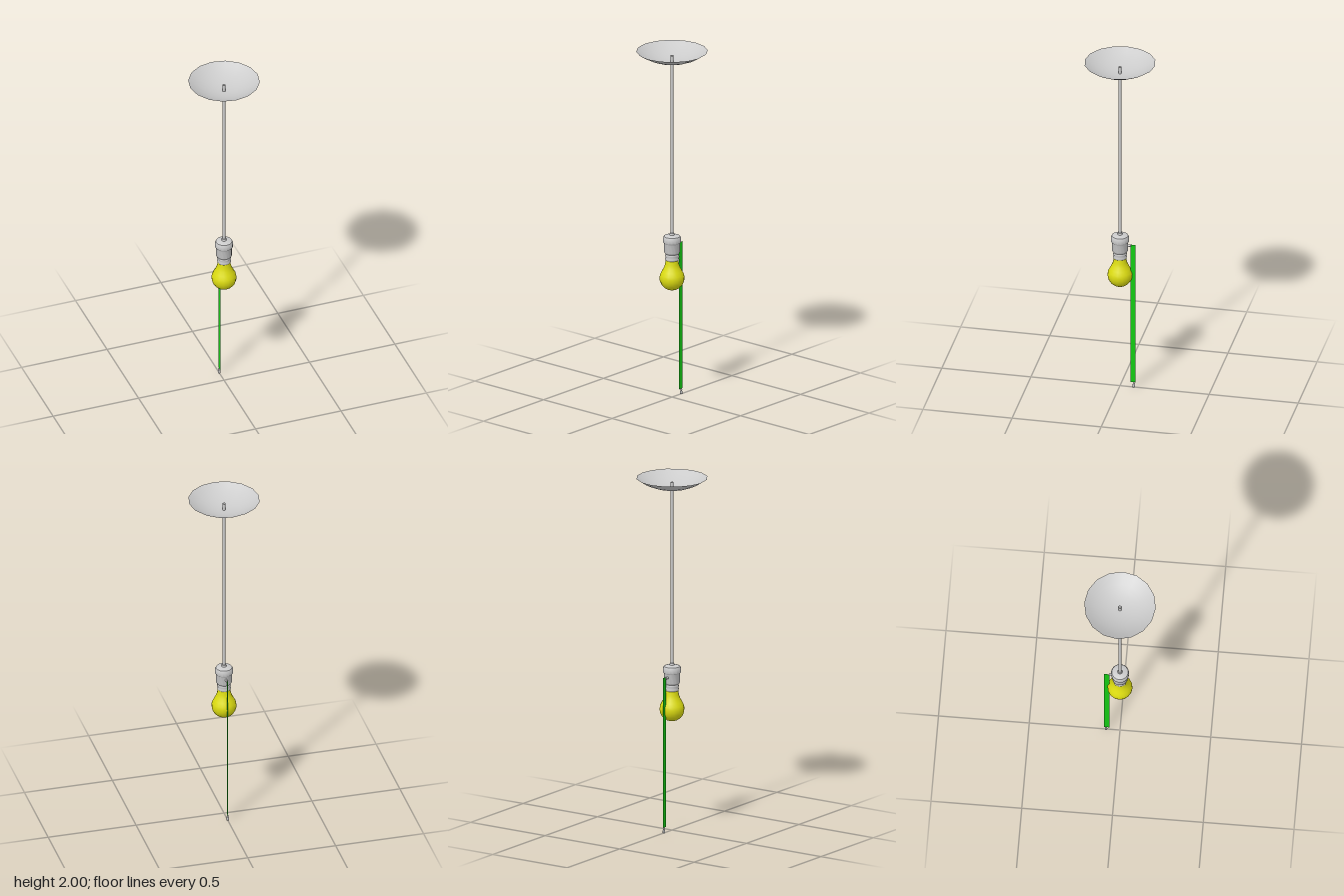
import * as THREE from 'three';
import { toCreasedNormals } from 'three/addons/utils/BufferGeometryUtils.js';

const grey = new THREE.MeshStandardMaterial({ color: 0xcccccc, side: THREE.DoubleSide });
const yellow = new THREE.MeshStandardMaterial({ color: 0xdddd11 });
const green = new THREE.MeshStandardMaterial({ color: 0x13cc13, side: THREE.DoubleSide });

export function createModel() {
  const group = new THREE.Group();

  const add = (name, geometry, material = grey) => {
    const mesh = new THREE.Mesh(geometry, material);
    mesh.name = name;
    group.add(mesh);
    return mesh;
  };
  // Profile points are [radius, height], from bottom to top
  const lathe = (points, sides = 16) =>
    new THREE.LatheGeometry(points.map(([r, y]) => new THREE.Vector2(r, y)), sides);

  // Shallow open bowl against the ceiling
  const bowl = [];
  const bowlRadius = 0.331;
  const rimAngle = Math.asin(0.197 / bowlRadius);
  for (let i = 0; i <= 6; i++) {
    const a = (rimAngle * i) / 6;
    bowl.push([bowlRadius * Math.sin(a), 1.935 + bowlRadius * (1 - Math.cos(a))]);
  }
  add('ceilingCanopy', lathe(bowl));

  // Cord, open at both ends, poking through the bowl
  const cord = add('cord', new THREE.CylinderGeometry(0.009, 0.009, 1.035, 8, 1, true));
  cord.position.y = 1.4575;

  // Lamp holder with a wider rounded cap
  add('socket', toCreasedNormals(lathe([
    [0, 0.83], [0.037, 0.83], [0.044, 0.84], [0.044, 0.89], [0.05, 0.897],
    [0.05, 0.92], [0.045, 0.931], [0.03, 0.936], [0.014, 0.938], [0.012, 0.948], [0.009, 0.95],
  ]), 0.7));

  // Metal base of the bulb, with a groove
  add('bulbBase', lathe([
    [0.032, 0.788], [0.037, 0.795], [0.038, 0.803], [0.034, 0.81],
    [0.038, 0.817], [0.037, 0.826], [0.033, 0.832],
  ]));

  // Bulb: round below, drawn in to a neck above
  const bulb = [];
  for (let i = 0; i <= 8; i++) {
    const a = (Math.PI * 0.6 * i) / 8;
    bulb.push([0.069 * Math.sin(a), 0.689 - 0.069 * Math.cos(a)]);
  }
  bulb.push([0.056, 0.729], [0.045, 0.75], [0.038, 0.77], [0.035, 0.795]);
  add('bulb', lathe(bulb), yellow);

  // Switch stem at the back of the holder
  const stem = add('switchStem', new THREE.CylinderGeometry(0.007, 0.007, 0.022, 8));
  stem.rotation.x = Math.PI / 2;
  stem.position.set(0, 0.873, -0.05);

  // Flat pull strip, facing sideways
  const strip = add('pullStrip', new THREE.PlaneGeometry(0.029, 0.85), green);
  strip.rotation.y = Math.PI / 2;
  strip.position.set(0, 0.455, -0.0725);

  // Small bell at the end of the pull
  const bell = add('pullEnd', lathe([
    [0, 0], [0.007, 0], [0.007, 0.014], [0.004, 0.019], [0.006, 0.024], [0.004, 0.029], [0, 0.03],
  ], 8));
  bell.position.z = -0.077;

  return group;
}
